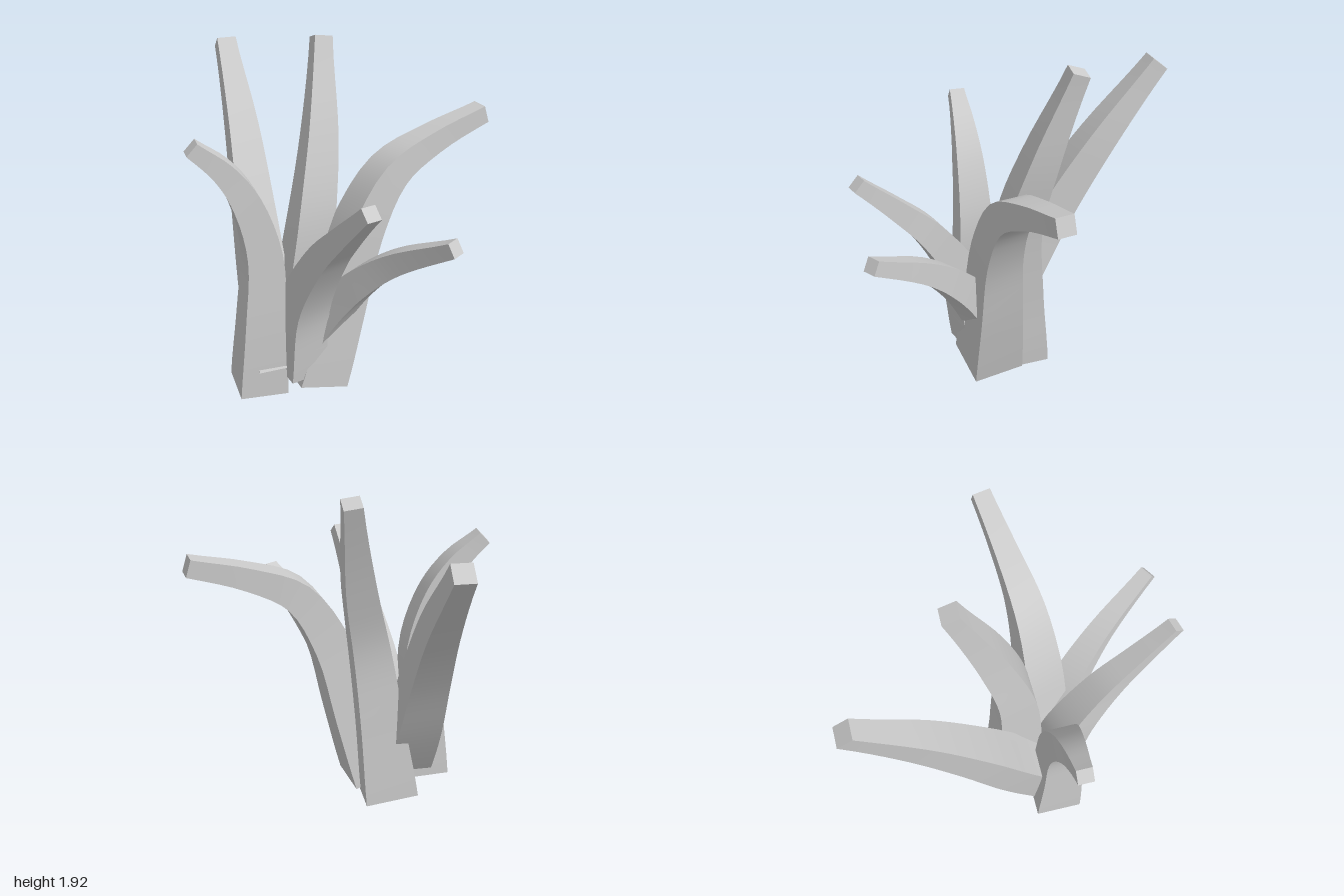
import * as THREE from 'three';

const SEGMENTS = 20;

// Square bar swept along a path, tapering by station, with sharp long edges.
// stations: [x, y, z, width]; heading: horizontal direction two of the sides face.
function branchGeometry(stations, [hx, hz]) {
  const path = new THREE.CatmullRomCurve3(stations.map(([x, y, z]) => new THREE.Vector3(x, y, z)));
  const widths = new THREE.SplineCurve(stations.map((s, i) => new THREE.Vector2(i, s[3])));
  const across = new THREE.Vector3(hz, 0, -hx).normalize();
  const corners = [[1, 1], [-1, 1], [-1, -1], [1, -1]];

  // One four-cornered ring per step
  const rings = [];
  for (let i = 0; i <= SEGMENTS; i++) {
    const t = i / SEGMENTS;
    const centre = path.getPoint(t);
    const tangent = path.getTangent(t);
    const n = new THREE.Vector3().crossVectors(tangent, across).normalize();
    const s = new THREE.Vector3().crossVectors(n, tangent).normalize();
    const half = widths.getPoint(t).y / 2;
    rings.push(corners.map(([a, b]) =>
      centre.clone().addScaledVector(s, a * half).addScaledVector(n, b * half)));
  }

  const positions = [];
  const index = [];
  const add = (p) => positions.push(p.x, p.y, p.z) / 3 - 1;

  // Four sides, each with its own vertices so only the length is smooth
  for (let side = 0; side < 4; side++) {
    let last = null;
    for (const ring of rings) {
      const a = add(ring[side]);
      const b = add(ring[(side + 1) % 4]);
      if (last) index.push(last[0], last[1], b, last[0], b, a);
      last = [a, b];
    }
  }
  // End caps
  const [b0, b1, b2, b3] = rings[0].map(add);
  index.push(b0, b2, b1, b0, b3, b2);
  const [t0, t1, t2, t3] = rings[SEGMENTS].map(add);
  index.push(t0, t1, t2, t0, t2, t3);

  const geometry = new THREE.BufferGeometry();
  geometry.setAttribute('position', new THREE.Float32BufferAttribute(positions, 3));
  geometry.setIndex(index);
  geometry.computeVertexNormals();
  return geometry;
}

const BRANCHES = [
  {
    name: 'leftBranch', heading: [0.94, 0.33],
    stations: [[-0.19, 0.06, 0.1, 0.305], [-0.08, 0.5, 0.165, 0.26], [0.03, 0.95, 0.23, 0.215],
      [0.2, 1.26, 0.3, 0.175], [0.45, 1.4, 0.39, 0.13], [0.755, 1.505, 0.5, 0.1]],
  },
  {
    name: 'tallBranch', heading: [0.47, -0.88],
    stations: [[-0.15, 0.03, -0.095, 0.31], [-0.11, 0.5, -0.06, 0.255], [-0.055, 1.0, -0.03, 0.21],
      [0.055, 1.4, -0.08, 0.17], [0.205, 1.91, -0.205, 0.1]],
  },
  {
    name: 'backBranch', heading: [0.5, -0.86],
    stations: [[-0.37, 0.135, 0.01, 0.29], [-0.27, 0.5, -0.2, 0.255], [-0.15, 0.93, -0.41, 0.215],
      [-0.01, 1.33, -0.64, 0.17], [0.155, 1.755, -0.94, 0.11]],
  },
  {
    name: 'rightBranch', heading: [-0.87, -0.5],
    stations: [[-0.46, 0.05, -0.065, 0.27], [-0.45, 0.5, -0.04, 0.23], [-0.445, 0.9, -0.035, 0.19],
      [-0.515, 1.2, -0.075, 0.155], [-0.61, 1.38, -0.13, 0.12], [-0.745, 1.525, -0.21, 0.085]],
  },
  {
    name: 'frontRightBranch', heading: [-0.24, 0.97],
    stations: [[-0.3, 0.16, 0.1, 0.22], [-0.325, 0.6, 0.17, 0.2], [-0.37, 0.96, 0.37, 0.155],
      [-0.42, 1.165, 0.55, 0.115], [-0.475, 1.375, 0.755, 0.08]],
  },
  {
    name: 'frontBranch', heading: [0.1, 0.99],
    stations: [[-0.2, 0.16, 0.03, 0.21], [-0.17, 0.45, 0.18, 0.19], [-0.14, 0.71, 0.37, 0.165],
      [-0.115, 0.925, 0.61, 0.125], [-0.1, 1.135, 0.98, 0.08]],
  },
];

export function createModel() {
  const model = new THREE.Group();
  model.name = 'branchCluster';
  const material = new THREE.MeshStandardMaterial({ color: 0xcccccc });
  for (const { name, heading, stations } of BRANCHES) {
    const mesh = new THREE.Mesh(branchGeometry(stations, heading), material);
    mesh.name = name;
    model.add(mesh);
  }
  return model;
}
